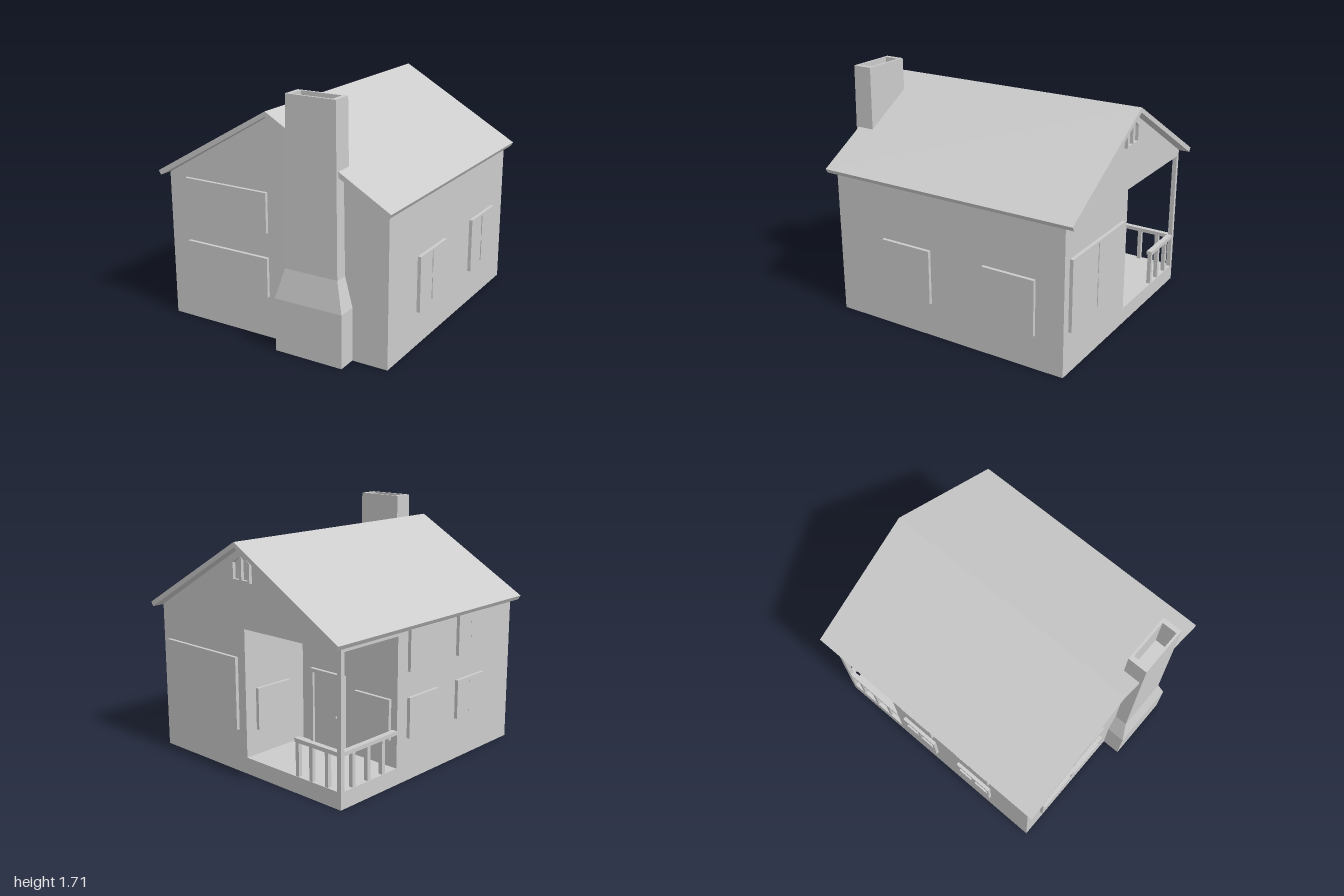
import * as THREE from 'three';

const material = new THREE.MeshStandardMaterial({ color: 0xcccccc, flatShading: true });

function shapeFrom(points) {
  return new THREE.Shape(points.map(([x, y]) => new THREE.Vector2(x, y)));
}

function mesh(name, geometry, parent) {
  const m = new THREE.Mesh(geometry, material);
  m.name = name;
  parent.add(m);
  return m;
}

// Extrude a front-view outline from z0 to z1
function extrude(name, shape, z0, z1, parent) {
  const geometry = new THREE.ExtrudeGeometry(shape, { depth: z1 - z0, bevelEnabled: false, curveSegments: 8 });
  geometry.translate(0, 0, z0);
  return mesh(name, geometry, parent);
}

// Box given by its lower and upper corners
function box(name, a, b, parent) {
  const m = mesh(name, new THREE.BoxGeometry(b[0] - a[0], b[1] - a[1], b[2] - a[2]), parent);
  m.position.set((a[0] + b[0]) / 2, (a[1] + b[1]) / 2, (a[2] + b[2]) / 2);
  return m;
}

function rectPath(x0, y0, x1, y1) {
  return shapeFrom([[x0, y0], [x0, y1], [x1, y1], [x1, y0]]);
}

// Window with four recessed panes, centred on its wall point and facing angle
function addWindow(parent, name, w, h, x, y, z, angle) {
  const g = new THREE.Group();
  g.name = name;
  const edge = 0.015, bar = 0.011;
  const frame = rectPath(-w / 2, -h / 2, w / 2, h / 2);
  for (const [x0, x1] of [[-w / 2 + edge, -bar], [bar, w / 2 - edge]]) {
    for (const [y0, y1] of [[-h / 2 + edge, -bar], [bar, h / 2 - edge]]) {
      frame.holes.push(rectPath(x0, y0, x1, y1));
    }
  }
  extrude('windowFrame', frame, 0, 0.024, g);
  box('windowPanes', [-w / 2 + 0.005, -h / 2 + 0.005, 0], [w / 2 - 0.005, h / 2 - 0.005, 0.008], g);
  g.position.set(x, y, z);
  g.rotation.y = angle;
  parent.add(g);
}

// Chimney skin: rectangular rings [x0, x1, y, z0, z1] joined upwards, then down into the flue
function chimneyGeometry(rings) {
  const pos = [], index = [];
  for (const [x0, x1, y, z0, z1] of rings) {
    pos.push(x0, y, z1, x1, y, z1, x1, y, z0, x0, y, z0);
  }
  for (let r = 0; r < rings.length - 1; r++) {
    for (let i = 0; i < 4; i++) {
      const a = r * 4 + i, b = r * 4 + (i + 1) % 4;
      index.push(a, b, b + 4, a, b + 4, a + 4);
    }
  }
  const t = (rings.length - 1) * 4;
  index.push(0, 3, 2, 0, 2, 1, t, t + 1, t + 2, t, t + 2, t + 3);
  const geometry = new THREE.BufferGeometry();
  geometry.setAttribute('position', new THREE.Float32BufferAttribute(pos, 3));
  geometry.setIndex(index);
  const flat = geometry.toNonIndexed();
  flat.computeVertexNormals();
  return flat;
}

export function createModel() {
  const house = new THREE.Group();
  house.name = 'house';
  const W = 0.85, front = 0.865, back = -0.93, porchZ = -0.4, floor = 0.115, ceiling = 1.0;

  // Walls: full gable block, then a back block with the porch corner cut out
  const gable = [[-W, 0], [W, 0], [W, 1.04], [0, 1.54], [-W, 1.04]];
  extrude('mainWalls', shapeFrom(gable), porchZ, front, house);
  const cut = [[-W, ceiling], [0, ceiling], [0, floor], [-W, floor]];
  extrude('backWallsAndPorch', shapeFrom([...gable, ...cut]), back, porchZ, house);

  // Overhanging roof
  extrude('roof', shapeFrom([
    [0, 1.54], [0.877, 1.03], [0.895, 1.06], [0, 1.575], [-0.895, 1.06], [-0.877, 1.03],
  ]), -1, 0.93, house);

  // Chimney with sloped shoulder and open flue
  mesh('chimney', chimneyGeometry([
    [0.095, 0.595, 0, 0.805, 1],
    [0.095, 0.595, 0.37, 0.805, 1],
    [0.15, 0.54, 0.575, 0.805, 0.958],
    [0.165, 0.525, 1.71, 0.805, 0.946],
    [0.2, 0.492, 1.71, 0.822, 0.93],
    [0.2, 0.492, 1.4, 0.822, 0.93],
  ]), house);

  // Windows, wall by wall
  for (const y of [0.437, 0.888]) {
    addWindow(house, 'frontWindow', 0.66, 0.277, -0.372, y, front, 0);
    for (const z of [-0.15, 0.37]) addWindow(house, 'leftSideWindow', 0.3, 0.277, -W, y, z, -Math.PI / 2);
  }
  for (const z of [0.28, -0.53]) addWindow(house, 'rightSideWindow', 0.39, 0.39, W, 0.44, z, Math.PI / 2);
  addWindow(house, 'backWindow', 0.72, 0.5, 0.43, 0.55, back, Math.PI);
  addWindow(house, 'porchBackWindow', 0.3, 0.277, -0.65, 0.437, porchZ, Math.PI);
  addWindow(house, 'porchSideWindow', 0.3, 0.29, 0, 0.437, -0.69, -Math.PI / 2);

  // Pointed attic vent on the back gable
  const vent = shapeFrom([[-0.085, 1.31], [0.085, 1.31], [0.085, 1.44], [0, 1.5], [-0.085, 1.44]]);
  for (const s of [-1, 1]) {
    vent.holes.push(shapeFrom([[s * 0.01, 1.325], [s * 0.07, 1.325], [s * 0.07, 1.432], [s * 0.01, 1.475]]));
  }
  extrude('atticVent', vent, back - 0.022, back, house);

  // Door in its frame, with a round knob
  const frame = shapeFrom([[-0.405, floor], [-0.095, floor], [-0.095, 0.65], [-0.405, 0.65]]);
  frame.holes.push(rectPath(-0.38, floor + 0.002, -0.12, 0.625));
  extrude('doorFrame', frame, porchZ - 0.026, porchZ, house);
  box('door', [-0.375, floor, porchZ - 0.013], [-0.125, 0.62, porchZ], house);
  const knob = mesh('doorKnob', new THREE.SphereGeometry(0.013, 12, 8), house);
  knob.position.set(-0.345, 0.345, porchZ - 0.024);

  // Porch corner post, rails and balusters
  const p = 0.032;
  box('porchPost', [-W, floor, back], [-W + p, ceiling, back + p], house);
  box('backRail', [-W, 0.345, back], [-0.45, 0.372, back + p + 0.006], house);
  box('sideRail', [-W, 0.345, back], [-W + p + 0.006, 0.372, porchZ], house);
  for (const x of [-0.74, -0.605, -0.485]) {
    box('backBaluster', [x, floor, back + 0.004], [x + 0.028, 0.345, back + p], house);
  }
  for (const z of [-0.82, -0.68, -0.54]) {
    box('sideBaluster', [-W + 0.004, floor, z], [-W + p, 0.345, z + 0.028], house);
  }

  return house;
}
